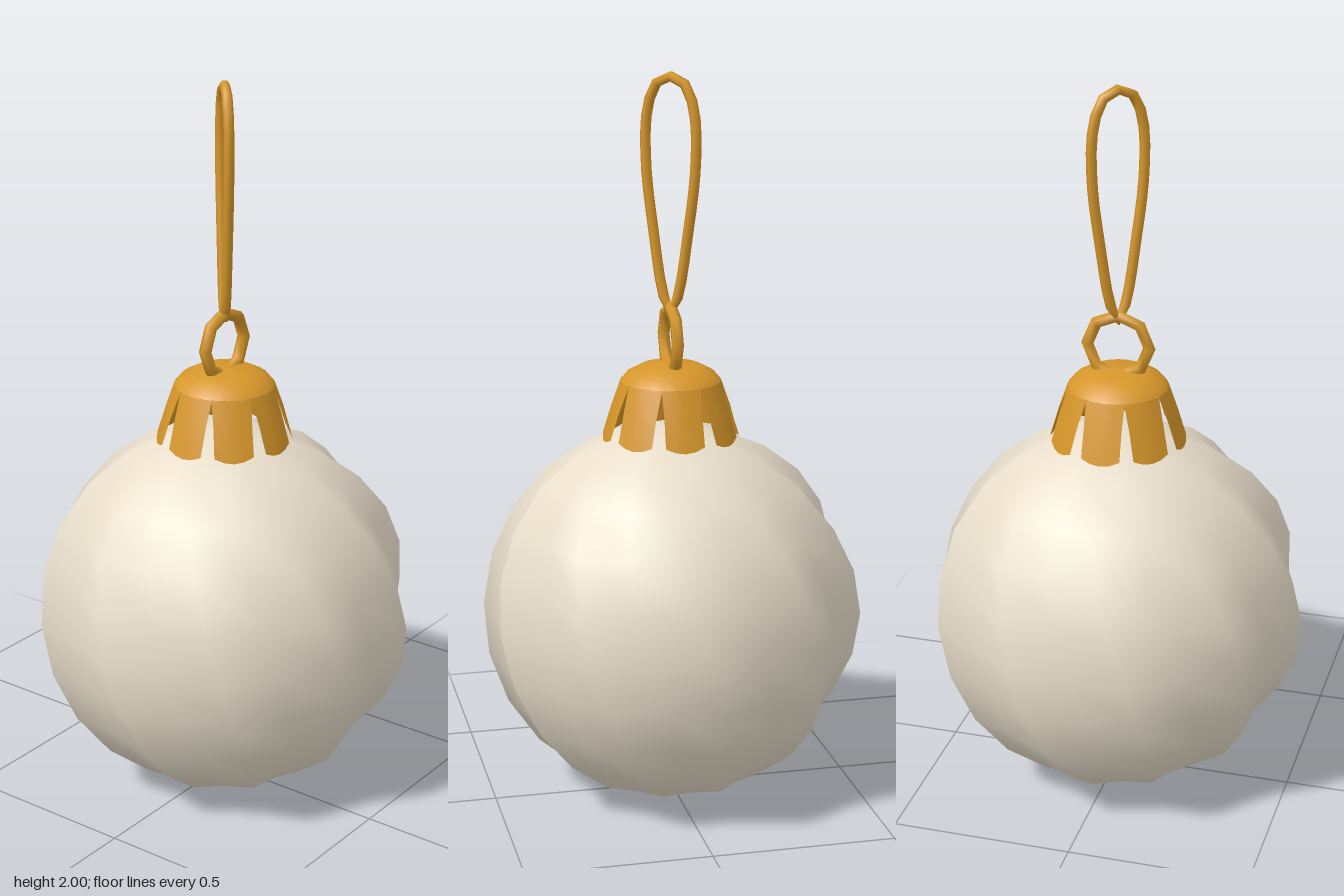
import * as THREE from 'three';
import { mergeVertices } from 'three/addons/utils/BufferGeometryUtils.js';

const cream = new THREE.MeshStandardMaterial({ color: 0xe9decb });
const gold = new THREE.MeshStandardMaterial({ color: 0xd6962a });
const goldThin = new THREE.MeshStandardMaterial({ color: 0xd6962a, side: THREE.DoubleSide });

function addMesh(parent, name, geometry, material) {
  const mesh = new THREE.Mesh(geometry, material);
  mesh.name = name;
  parent.add(mesh);
  return mesh;
}

// Ten-ridged sphere whose flutes twist from pole to pole
function flutedBall() {
  const around = 20, rings = 12, ridge = 0.525, valley = 0.48, twist = 0.3;
  let geo = new THREE.SphereGeometry(1, around, rings);
  const pos = geo.attributes.position;
  const up = new THREE.Vector3(0, 1, 0), v = new THREE.Vector3();
  for (let i = 0; i < pos.count; i++) {
    v.fromBufferAttribute(pos, i);
    const polar = Math.acos(THREE.MathUtils.clamp(v.y, -1, 1));
    const r = (i % (around + 1)) % 2 === 0 ? ridge : valley;
    v.set(v.x * r, v.y * 0.522, v.z * r);
    v.applyAxisAngle(up, (polar - Math.PI / 2) * twist);
    pos.setXYZ(i, v.x, v.y, v.z);
  }
  geo.deleteAttribute('uv');
  geo.deleteAttribute('normal');
  geo = mergeVertices(geo, 1e-4);
  geo.computeVertexNormals();
  return geo;
}

// One flared tab of the cap, pointing along +z, from cross-sections
function capTab() {
  const sections = [
    { r: 0.137, y: 1.172, half: 0.053, drop: 0 },
    { r: 0.162, y: 1.1, half: 0.052, drop: 0 },
    { r: 0.185, y: 1.025, half: 0.053, drop: 0.014 },
  ];
  const cols = 4, positions = [], index = [];
  sections.forEach(({ r, y, half, drop }, row) => {
    for (let c = 0; c <= cols; c++) {
      const t = (c / cols) * 2 - 1;
      const a = t * Math.asin(half / r);
      positions.push(Math.sin(a) * r, y - drop * (1 - t * t), Math.cos(a) * r);
      if (row > 0 && c < cols) {
        const top = (row - 1) * (cols + 1) + c, low = top + cols + 1;
        index.push(top, low, low + 1, top, low + 1, top + 1);
      }
    }
  });
  const geo = new THREE.BufferGeometry();
  geo.setAttribute('position', new THREE.Float32BufferAttribute(positions, 3));
  geo.setIndex(index);
  geo.computeVertexNormals();
  return geo;
}

// Teardrop hanging loop in the xy plane
function loopCurve() {
  const side = [[0.022, 1.4], [0.055, 1.58], [0.077, 1.75], [0.074, 1.89], [0.045, 1.966]];
  const points = [
    [0, 1.358], ...side, [0, 1.986],
    ...side.map(([x, y]) => [-x, y]).reverse(),
  ].map(([x, y]) => new THREE.Vector3(x, y, 0));
  return new THREE.CatmullRomCurve3(points, true);
}

export function createModel() {
  const model = new THREE.Group();
  model.name = 'bauble';

  addMesh(model, 'flutedBall', flutedBall(), cream).position.y = 0.522;

  // Cap: domed top with eight tabs
  const cap = new THREE.Group();
  cap.name = 'cap';
  model.add(cap);
  const dome = [[0.137, 1.172], [0.12, 1.193], [0.08, 1.214], [0, 1.222]]
    .map(([x, y]) => new THREE.Vector2(x, y));
  addMesh(cap, 'capDome', new THREE.LatheGeometry(dome, 24), goldThin);
  const tab = capTab();
  for (let i = 0; i < 8; i++) {
    addMesh(cap, 'capTab', tab, goldThin).rotation.y = (i * Math.PI) / 4;
  }

  // Eyelet ring standing on the cap
  addMesh(model, 'eyeletRing', new THREE.TorusGeometry(0.086, 0.017, 6, 8), gold).position.y = 1.285;

  // Hanging loop, turned diagonally through the ring
  const loop = new THREE.TubeGeometry(loopCurve(), 28, 0.014, 6, true);
  addMesh(model, 'hangingLoop', loop, gold).rotation.y = Math.PI / 4;

  return model;
}
